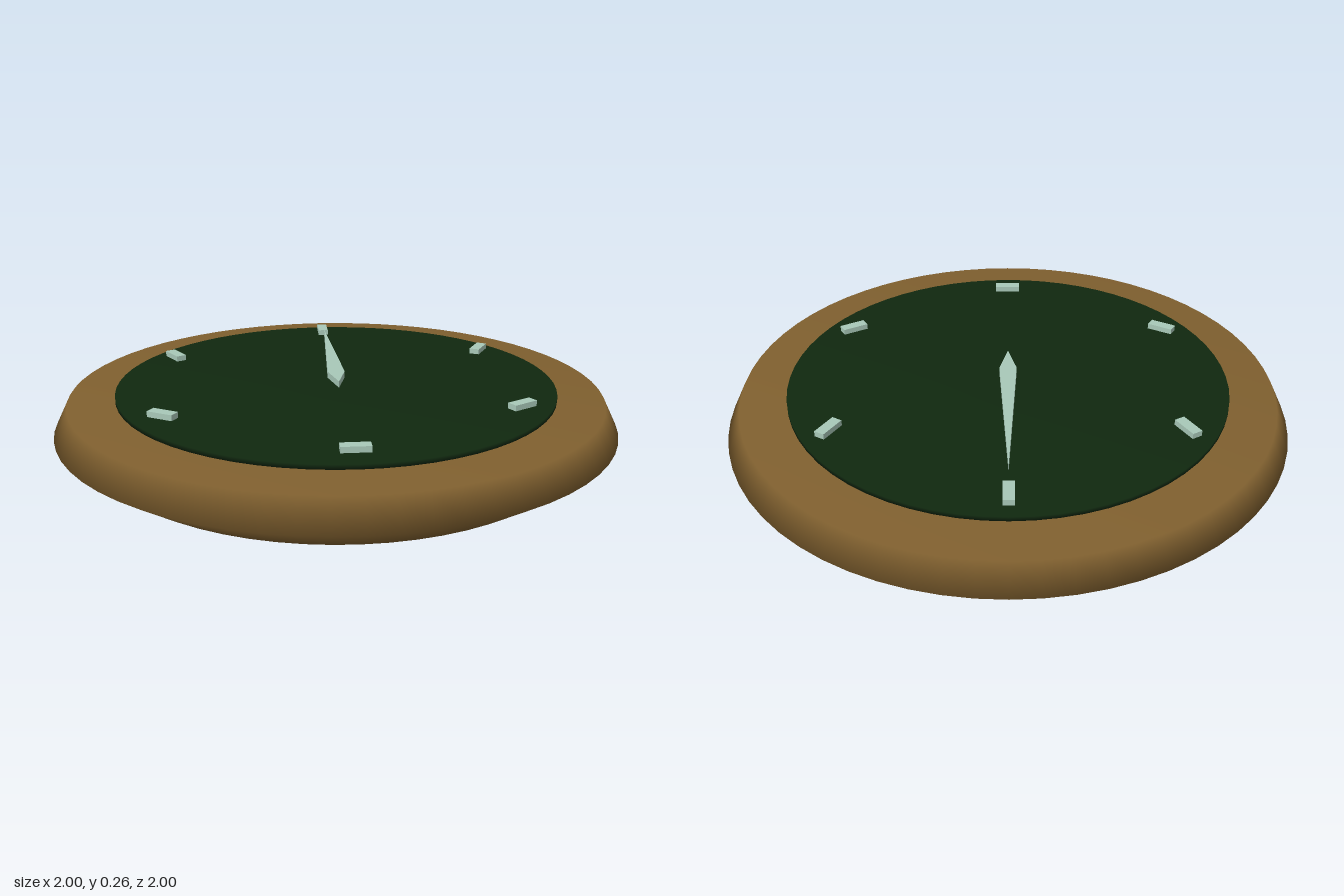
import * as THREE from 'three';

const wood = new THREE.MeshStandardMaterial({ name: 'brown case', color: 0x80602f });
const green = new THREE.MeshStandardMaterial({ name: 'dark green dial', color: 0x10280f });
const pale = new THREE.MeshStandardMaterial({ name: 'pale green', color: 0xa8c8b8 });

function add(parent, name, geometry, material) {
  const mesh = new THREE.Mesh(geometry, material);
  mesh.name = name;
  parent.add(mesh);
  return mesh;
}

// Smooth turned solid from [radius, height] pairs, listed bottom to top
const turned = (profile) =>
  new THREE.LatheGeometry(profile.map(([r, y]) => new THREE.Vector2(r, y)), 64);

export function createModel() {
  const model = new THREE.Group();
  model.name = 'clock';

  // Case with a bevelled rim, and the thin dial just above it
  add(model, 'case', turned([[0, 0], [0.85, 0], [1, 0.1], [0.95, 0.2], [0, 0.2]]), wood);
  add(model, 'dial', turned([[0, 0.208], [0.785, 0.208], [0.785, 0.224], [0, 0.224]]), green);

  // Six hour markers, each turned by half its angle around the dial
  const markers = new THREE.Group();
  markers.name = 'hourMarkers';
  model.add(markers);
  const markerShape = new THREE.BoxGeometry(0.038, 0.02, 0.096);
  for (let i = 0; i < 6; i++) {
    const angle = (i * Math.PI) / 3;
    const marker = add(markers, 'hourMarker', markerShape, pale);
    marker.position.set(0.688 * Math.sin(angle), 0.239, -0.688 * Math.cos(angle));
    marker.rotation.y = -angle / 2;
  }

  // Kite-shaped hand pointing to the back
  const kite = new THREE.Shape([[0, -0.12], [0.031, 0], [0, 0.59], [-0.031, 0]]
    .map(([x, y]) => new THREE.Vector2(x, y)));
  const hand = add(model, 'hand',
    new THREE.ExtrudeGeometry(kite, { depth: 0.023, bevelEnabled: false }), pale);
  hand.rotation.x = -Math.PI / 2;
  hand.position.y = 0.241;

  return model;
}
